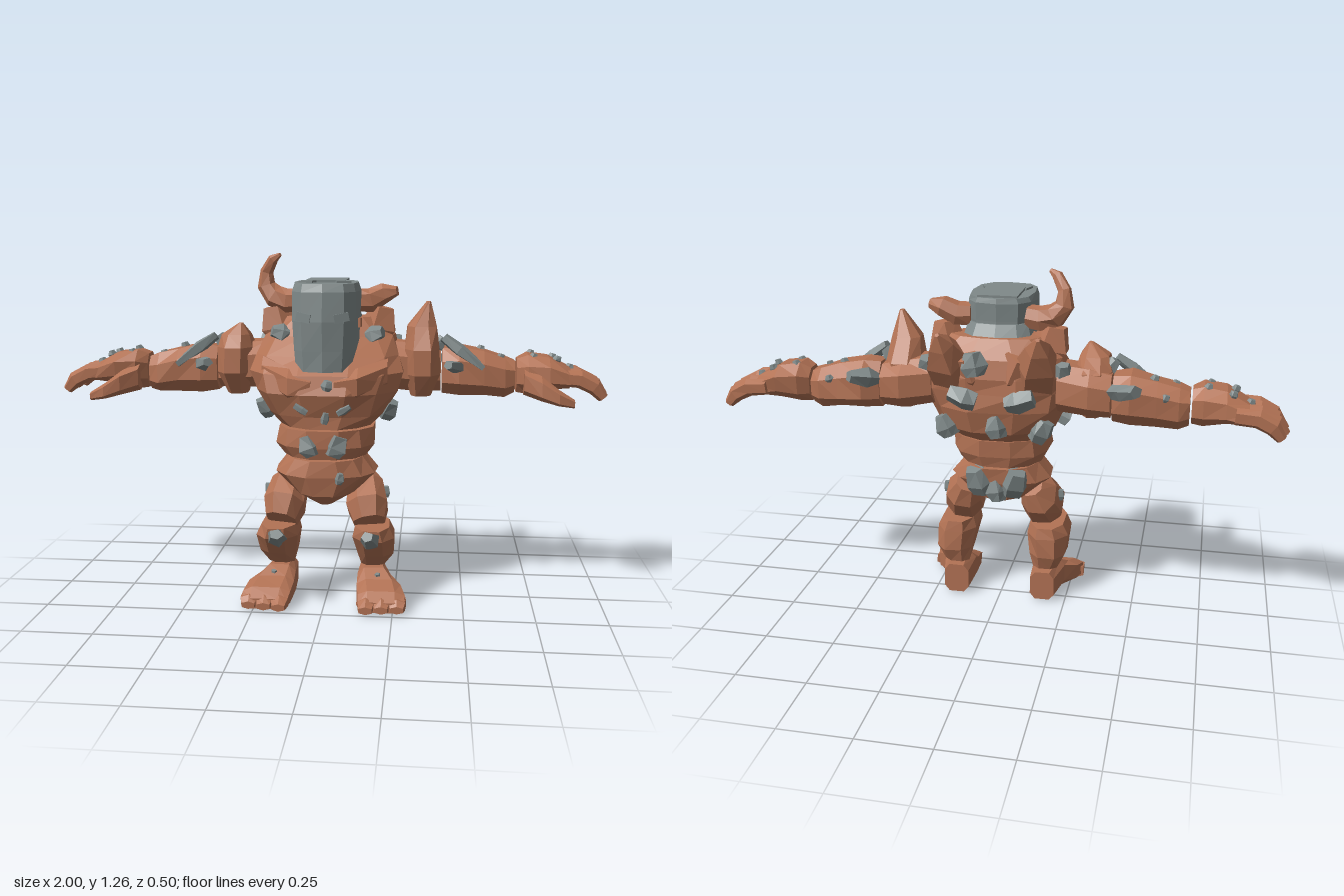
import * as THREE from 'three';

const V = (x, y, z) => new THREE.Vector3(x, y, z);
const UP = V(0, 1, 0);
const SIDEWAYS = V(1, 0, 0);
const FORWARD = V(0, 0, 1);

export function createModel() {
  const model = new THREE.Group();
  model.name = 'rockGolem';
  const clay = new THREE.MeshStandardMaterial({ color: 0xb27254 });
  clay.name = 'clay brown';
  const stone = new THREE.MeshStandardMaterial({ color: 0x7f8989 });
  stone.name = 'stone grey';

  let seed = 7;
  const rnd = () => (seed = (seed * 16807) % 2147483647) / 2147483647;

  // Faceted solid through rings [x, y, z, radiusU, radiusV]; side mirrors it in x,
  // dir fixes the ring normal, across fixes the U direction
  function loft(name, mat, rings, o = {}) {
    const { n = 8, side = 1, dir, across, jitter = 0.05, phase = 0.5, square = 0.85, shape } = o;
    const centres = rings.map(r => V(r[0], r[1], r[2]));
    const pts = [];
    const power = c => Math.sign(c) * Math.abs(c) ** square;
    rings.forEach((r, i) => {
      const t = dir ? dir.clone() : centres[Math.min(i + 1, rings.length - 1)].clone()
        .sub(centres[Math.max(i - 1, 0)]).normalize();
      const u = (across ?? (Math.abs(t.x) > 0.75 ? FORWARD : SIDEWAYS)).clone();
      u.addScaledVector(t, -u.dot(t)).normalize();
      const v = t.clone().cross(u);
      for (let k = 0; k < n; k++) {
        const a = (k + phase) / n * Math.PI * 2;
        const f = 1 + (rnd() - 0.5) * 2 * jitter;
        pts.push(centres[i].clone().addScaledVector(u, power(Math.cos(a)) * r[3] * f)
          .addScaledVector(v, power(Math.sin(a)) * (r[4] ?? r[3]) * f));
      }
    });
    const last = rings.length - 1;
    pts.push(centres[0].clone(), centres[last].clone());
    pts.forEach(p => { if (shape) shape(p); p.x *= side; });
    const faces = [], c0 = pts.length - 2, c1 = pts.length - 1;
    for (let k = 0; k < n; k++) {
      const m = (k + 1) % n;
      for (let i = 0; i < last; i++) {
        const a = i * n + k, b = i * n + m;
        faces.push([a, b, b + n], [a, b + n, a + n]);
      }
      faces.push([c0, m, k], [c1, last * n + k, last * n + m]);
    }
    // Wind every face outwards
    const volume = faces.reduce((s, [a, b, c]) => s + pts[a].dot(pts[b].clone().cross(pts[c])), 0);
    const pos = [];
    for (const [a, b, c] of faces)
      for (const q of volume > 0 ? [a, b, c] : [a, c, b]) pos.push(pts[q].x, pts[q].y, pts[q].z);
    const geo = new THREE.BufferGeometry();
    geo.setAttribute('position', new THREE.Float32BufferAttribute(pos, 3));
    geo.computeVertexNormals();
    const mesh = new THREE.Mesh(geo, mat);
    mesh.name = name;
    model.add(mesh);
  }

  // Blocky crystal lying along direction d
  function shard(name, x, y, z, len, r, d = [0, 1, 0], side = 1, mat = stone) {
    const t = V(...d).normalize();
    const at = (k, f) => [x + t.x * len * k, y + t.y * len * k, z + t.z * len * k, r * f, r * f * 0.85];
    loft(name, mat, [at(-0.5, 0.75), at(-0.1, 1.05), at(0.5, 0.7)],
      { n: 5, side, dir: t, jitter: 0.18, square: 1 });
  }

  // Torso
  const body = { n: 12, dir: UP, jitter: 0.035 };
  loft('pelvis', clay, [[0, 0.37, 0.07, 0.03, 0.06], [0, 0.415, 0.055, 0.11, 0.14],
    [0, 0.485, 0.05, 0.185, 0.16], [0, 0.543, 0.045, 0.14, 0.16]], body);
  loft('waist', clay, [[0, 0.549, 0.045, 0.15, 0.158], [0, 0.59, 0.045, 0.178, 0.168],
    [0, 0.652, 0.042, 0.172, 0.168]], body);
  loft('chest', clay, [[0, 0.657, 0.035, 0.16, 0.172], [0, 0.7, 0.02, 0.215, 0.195],
    [0, 0.78, 0.02, 0.255, 0.22], [0, 0.845, 0.01, 0.28, 0.21], [0, 0.9, -0.025, 0.272, 0.172],
    [0, 0.965, -0.055, 0.24, 0.125], [0, 1.03, -0.06, 0.16, 0.08]], body);

  // Helmet: a near-flat front and a raised rear rim
  loft('helmet', stone, [[0, 0.858, 0.06, 0.108, 0.152], [0, 0.93, 0.06, 0.115, 0.157],
    [0, 1.03, 0.062, 0.12, 0.158], [0, 1.13, 0.06, 0.122, 0.156], [0, 1.158, 0.055, 0.113, 0.148]],
  { n: 12, dir: UP, jitter: 0.012, phase: 0, square: 0.72, shape: p => {
    if (p.z < 0.04) p.y = 1.158 - (1.158 - p.y) * 0.62;
  } });
  loft('neckGuard', stone, [[0, 0.965, -0.06, 0.138, 0.1], [0, 1.01, -0.05, 0.13, 0.085],
    [0, 1.07, -0.035, 0.11, 0.065]], { n: 10, dir: UP, jitter: 0.03 });
  const plate = (name, mat, w, h, d, x, y, z, ry, rz) => {
    const m = new THREE.Mesh(new THREE.BoxGeometry(w, h, d), mat);
    m.name = name;
    m.position.set(x, y, z);
    m.rotation.set(0, ry, rz);
    model.add(m);
  };
  for (const s of [-1, 1]) {
    plate('eyePlate', stone, 0.052, 0.03, 0.008, s * 0.065, 1.045, 0.204, s * 0.3, s * 0.2);
    plate('crownEdge', stone, 0.05, 0.02, 0.05, s * 0.06, 1.155, 0.1, s * 0.3, 0);
  }
  plate('crownPlate', stone, 0.14, 0.012, 0.17, 0, 1.16, 0.01, 0, 0);
  plate('helmetGap', clay, 0.009, 0.032, 0.03, 0.12, 1.02, 0.09, -0.1, 0);

  // One whole horn and one broken horn
  const horn = { n: 7, across: FORWARD };
  loft('wholeHorn', clay, [[-0.1, 1.09, -0.035, 0.04], [-0.15, 1.085, -0.04, 0.044],
    [-0.2, 1.1, -0.05, 0.042], [-0.23, 1.14, -0.055, 0.034], [-0.228, 1.19, -0.05, 0.024],
    [-0.2, 1.235, -0.03, 0.018], [-0.175, 1.25, -0.02, 0.007]], horn);
  loft('brokenHorn', clay, [[0.1, 1.09, -0.035, 0.04], [0.15, 1.09, -0.04, 0.045],
    [0.2, 1.115, -0.045, 0.038], [0.245, 1.122, -0.035, 0.018]], horn);

  for (const side of [1, -1]) {
    const o = { side };
    // Legs
    loft('thigh', clay, [[0.12, 0.45, -0.025, 0.045, 0.04], [0.14, 0.41, 0.005, 0.07, 0.08],
      [0.15, 0.35, 0.075, 0.077, 0.09], [0.16, 0.305, 0.11, 0.058, 0.06]], o);
    loft('shin', clay, [[0.17, 0.122, 0.012, 0.048, 0.045], [0.178, 0.175, 0.03, 0.07, 0.085],
      [0.175, 0.25, 0.068, 0.08, 0.125], [0.17, 0.29, 0.07, 0.065, 0.122]], { side, dir: UP });
    loft('foot', clay, [[0.165, 0.06, -0.05, 0.048, 0.058], [0.175, 0.062, 0.07, 0.064, 0.06],
      [0.195, 0.047, 0.12, 0.085, 0.047], [0.207, 0.036, 0.185, 0.09, 0.036],
      [0.21, 0.022, 0.225, 0.085, 0.02]], { side, dir: FORWARD, square: 0.6, jitter: 0.03 });
    for (let i = 0; i < 3; i++) {
      const x = 0.155 + i * 0.055;
      loft('toe', clay, [[x, 0.028, 0.16, 0.036, 0.028], [x, 0.026, 0.215, 0.033, 0.026],
        [x, 0.018, 0.25 - i * 0.008, 0.026, 0.014]], { side, n: 6, dir: FORWARD });
    }
    shard('kneeShard', 0.165, 0.262, 0.2, 0.11, 0.034, [-0.1, 0.5, 0.9], side);
    shard('footPebble', 0.19, 0.095, 0.1, 0.025, 0.015, [0, 1, 0.3], side);
    shard('thighPebble', 0.215, 0.4, 0.04, 0.04, 0.018, [0, 1, 0], side);

    // Chest muscles, collar and back rocks
    loft('pectoral', clay, [[0.04, 0.8, 0.155, 0.07, 0.05], [0.12, 0.81, 0.15, 0.08, 0.06],
      [0.22, 0.845, 0.09, 0.06, 0.055]], { side, n: 7, dir: SIDEWAYS, jitter: 0.06 });
    shard('collarRock', 0.185, 1.0, -0.05, 0.13, 0.062, [0.2, 1, 0], side, clay);
    shard('backRock', 0.09, 0.92, -0.14, 0.13, 0.075, [0.3, 1, -0.4], side, clay);
    loft('backSpike', clay, [[0.14, 0.87, -0.1, 0.08], [0.155, 0.96, -0.165, 0.075],
      [0.165, 1.02, -0.21, 0.045], [0.17, 1.06, -0.242, 0.008]], { side, n: 5 });

    // Shoulder, taller on the left
    const tall = side > 0;
    loft('shoulderPad', clay, [[0.335, 0.75, -0.03, 0.038, 0.055], [0.34, 0.83, -0.035, 0.066, 0.115],
      [0.338, 0.92, -0.035, 0.068, 0.11], [0.335, tall ? 1.0 : 0.965, -0.02, 0.054, 0.06],
      [tall ? 0.358 : 0.32, tall ? 1.088 : 1.005, -0.01, 0.008, 0.012]], { side, dir: UP });

    // Arm
    const arm = { side, dir: SIDEWAYS };
    loft('upperArm', clay, [[0.22, 0.86, -0.06, 0.1, 0.09], [0.33, 0.85, -0.07, 0.115, 0.09],
      [0.405, 0.84, -0.08, 0.085, 0.08]], arm);
    loft('forearm', clay, [[0.41, 0.835, -0.075, 0.082, 0.088], [0.47, 0.838, -0.08, 0.102, 0.095],
      [0.56, 0.828, -0.08, 0.092, 0.084], [0.635, 0.815, -0.08, 0.082, 0.076],
      [0.67, 0.815, -0.08, 0.064, 0.062]], arm);
    loft('hand', clay, [[0.677, 0.822, -0.08, 0.058, 0.065], [0.715, 0.828, -0.075, 0.09, 0.075],
      [0.79, 0.832, -0.08, 0.103, 0.06], [0.865, 0.815, -0.09, 0.105, 0.038]], arm);
    for (let i = 0; i < 4; i++) {
      const z = -0.172 + i * 0.053, k = [0.92, 1, 1, 0.96][i];
      const x = d => 0.82 + d * k;
      loft('finger', clay, [[x(0), 0.82, z, 0.027, 0.03], [x(0.08), 0.814, z, 0.026, 0.031],
        [x(0.135), 0.788, z, 0.025, 0.029], [x(0.168), 0.75, z, 0.016, 0.018]],
      { side, n: 6, across: FORWARD });
    }
    loft('thumb', clay, [[0.7, 0.805, -0.015, 0.045, 0.05], [0.76, 0.785, 0.02, 0.045, 0.045],
      [0.82, 0.755, 0.04, 0.033, 0.03], [0.875, 0.735, 0.04, 0.016, 0.016]],
    { side, n: 6, dir: SIDEWAYS });

    // Arm stones
    shard('armSlab', 0.485, 0.905, -0.01, 0.18, 0.027, [0.8, -0.6, 0.1], side);
    shard('elbowSlab', 0.455, 0.88, -0.18, 0.11, 0.037, [0.7, 0.2, -0.6], side);
    shard('elbowPebble', 0.45, 0.86, 0.035, 0.08, 0.028, [-0.5, 0.2, 0.8], side);
    shard('shoulderStone', 0.395, 0.93, -0.05, 0.06, 0.027, [0.6, 0.8, 0], side);
    for (const [x, y, z] of [[0.55, 0.91, -0.1], [0.62, 0.885, -0.06], [0.59, 0.86, -0.155],
      [0.73, 0.895, -0.11], [0.735, 0.89, -0.04], [0.81, 0.88, -0.13], [0.82, 0.88, -0.06],
      [0.87, 0.847, -0.1]]) shard('armPebble', x, y, z, 0.025, 0.016, [0.3, 1, 0], side);

    // Body stones in matching pairs
    for (const [x, y, z, l, r, d] of [
      [0.17, 0.975, 0.035, 0.06, 0.036, [1, 0.3, 0.3]], [0.22, 0.71, 0.06, 0.07, 0.037, [0.5, 1, 0.4]],
      [0.075, 0.73, 0.215, 0.05, 0.018, [1, 0.6, 0]], [0.045, 0.6, 0.19, 0.075, 0.043, [0.4, 1, 0]],
      [0.1, 0.83, -0.18, 0.1, 0.05, [1, 0.3, 0]], [0.17, 0.71, -0.14, 0.08, 0.042, [0.5, 1, 0]],
      [0.065, 0.49, -0.09, 0.1, 0.055, [0.3, 1, -0.3]], [0.24, 0.92, -0.12, 0.07, 0.035, [0, 1, -0.5]],
    ]) shard('bodyStone', x, y, z, l, r, d, side);
  }

  // Single stones
  for (const [x, y, z, l, r] of [[0.02, 0.815, 0.225, 0.035, 0.02], [0.01, 0.7, 0.21, 0.04, 0.016],
    [0.06, 0.485, 0.205, 0.04, 0.018], [0, 0.46, -0.09, 0.09, 0.04], [-0.02, 0.73, -0.175, 0.08, 0.04],
    [0.06, 0.95, -0.185, 0.08, 0.045]])
    shard('looseStone', x, y, z, l, r, [0.2, 1, 0.1]);

  return model;
}
